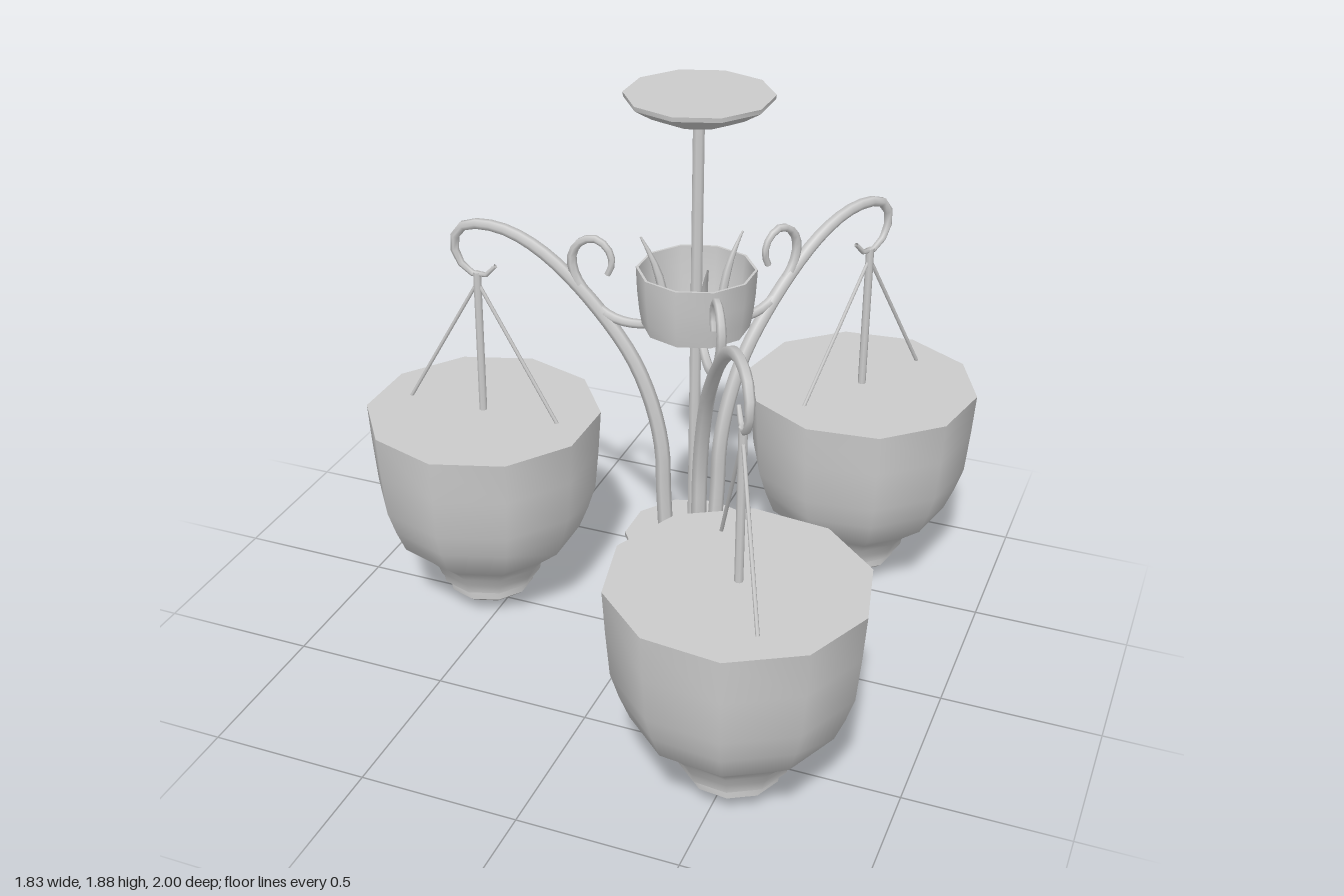
import * as THREE from 'three';
import { toCreasedNormals } from 'three/addons/utils/BufferGeometryUtils.js';

const metal = new THREE.MeshStandardMaterial({ color: 0xcccccc, side: THREE.DoubleSide });

function add(parent, name, geometry) {
  const mesh = new THREE.Mesh(geometry, metal);
  mesh.name = name;
  parent.add(mesh);
  return mesh;
}

// Ten-sided turned part from [radius, height] pairs, bottom to top
function turned(profile, sides = 10) {
  const points = profile.map(([r, y]) => new THREE.Vector2(r, y));
  return toCreasedNormals(new THREE.LatheGeometry(points, sides), 0.8);
}

// Tube along [x, y] points whose radius follows the given list of radii
function taperedTube(points, radii, segments, sides = 6) {
  const path = new THREE.CatmullRomCurve3(points.map(([x, y]) => new THREE.Vector3(x, y, 0)));
  const tube = new THREE.TubeGeometry(path, segments, 1, sides);
  const pos = tube.attributes.position;
  const v = new THREE.Vector3();
  for (let i = 0; i <= segments; i++) {
    const centre = path.getPointAt(i / segments);
    const f = (i / segments) * (radii.length - 1);
    const k = Math.min(Math.floor(f), radii.length - 2);
    const radius = THREE.MathUtils.lerp(radii[k], radii[k + 1], f - k);
    for (let j = 0; j <= sides; j++) {
      const n = i * (sides + 1) + j;
      v.fromBufferAttribute(pos, n).sub(centre).multiplyScalar(radius).add(centre);
      pos.setXYZ(n, v.x, v.y, v.z);
    }
  }
  return tube;
}

// Straight round bar between two [x, y] points
function bar(a, b, radius, sides = 6) {
  const dx = b[0] - a[0], dy = b[1] - a[1];
  const g = new THREE.CylinderGeometry(radius, radius, Math.hypot(dx, dy), sides);
  g.rotateZ(Math.atan2(dy, dx) - Math.PI / 2);
  g.translate((a[0] + b[0]) / 2, (a[1] + b[1]) / 2, 0);
  return g;
}

// One arm with its scroll and hanging shade, reaching along +x
function createArm() {
  const arm = new THREE.Group();
  arm.name = 'arm';

  // Main arm rising from the dish, bending over into a hook
  add(arm, 'mainArm', taperedTube([
    [0.09, 0.38], [0.1, 0.56], [0.107, 0.71], [0.145, 0.87], [0.215, 1.02], [0.36, 1.195],
    [0.5, 1.31], [0.61, 1.36], [0.7, 1.37], [0.765, 1.355], [0.8, 1.305], [0.79, 1.245],
    [0.755, 1.205], [0.705, 1.195], [0.66, 1.235],
  ], [0.024, 0.024, 0.023, 0.022, 0.02, 0.016, 0.007], 34));

  // Scroll leaving the cup, brushing the arm and curling back
  add(arm, 'scroll', taperedTube([
    [0.1, 1.15], [0.17, 1.125], [0.25, 1.125], [0.31, 1.15], [0.36, 1.2], [0.395, 1.26],
    [0.4, 1.32], [0.37, 1.365], [0.325, 1.38], [0.285, 1.355], [0.27, 1.31], [0.285, 1.27],
  ], [0.013, 0.015, 0.017, 0.015, 0.012, 0.01], 24));

  // Spike standing inside the cup
  add(arm, 'spike', taperedTube(
    [[0.09, 1.16], [0.115, 1.28], [0.14, 1.345], [0.178, 1.41]], [0.014, 0.013, 0.003], 6));

  // Shade: turned bowl, closed at the rim
  const lamp = new THREE.Group();
  lamp.name = 'hangingLamp';
  lamp.position.x = 0.725;
  arm.add(lamp);
  add(lamp, 'shade', turned([
    [0, 0.055], [0.125, 0.055], [0.143, 0.07], [0.143, 0.098], [0.168, 0.112], [0.172, 0.135],
    [0.182, 0.15], [0.19, 0.175], [0.235, 0.225], [0.305, 0.285], [0.335, 0.36], [0.36, 0.44],
    [0.372, 0.58], [0.381, 0.72], [0, 0.72],
  ]));
  add(lamp, 'shadeStud', bar([0, 0], [0, 0.07], 0.032, 10));
  add(lamp, 'hangingRod', bar([0, 0.7], [0, 1.205], 0.013, 8));
  for (const side of [-1, 1]) {
    add(lamp, 'hangingWire', bar([0, 1.17], [side * 0.265, 0.71], 0.006));
  }
  return arm;
}

export function createModel() {
  const model = new THREE.Group();
  model.name = 'chandelier';
  const body = new THREE.Group();
  body.name = 'body';
  body.position.x = 0.165;
  model.add(body);

  // Ceiling plate and central stem
  add(body, 'ceilingPlate', turned([
    [0, 1.808], [0.115, 1.808], [0.16, 1.828], [0.215, 1.862], [0.217, 1.876], [0, 1.876],
  ]));
  add(body, 'stem', bar([0, 0.38], [0, 1.82], 0.018, 8));

  // Open cup around the stem
  add(body, 'cup', turned([
    [0, 1.153], [0.162, 1.153], [0.17, 1.2], [0.176, 1.26], [0.18, 1.338],
    [0.172, 1.338], [0.166, 1.25], [0.15, 1.165], [0, 1.165],
  ]));

  // Lower dish with a small finial
  add(body, 'dish', turned([
    [0, 0.17], [0.05, 0.17], [0.075, 0.21], [0.105, 0.265], [0.14, 0.325], [0.175, 0.365],
    [0.215, 0.398], [0.215, 0.412], [0, 0.412],
  ]));
  add(body, 'finial', bar([0, 0.132], [0, 0.18], 0.02, 8));

  // Three arms spaced evenly, one pointing to -x
  for (let i = 0; i < 3; i++) {
    const arm = createArm();
    arm.rotation.y = Math.PI + (i * Math.PI * 2) / 3;
    body.add(arm);
  }
  return model;
}
